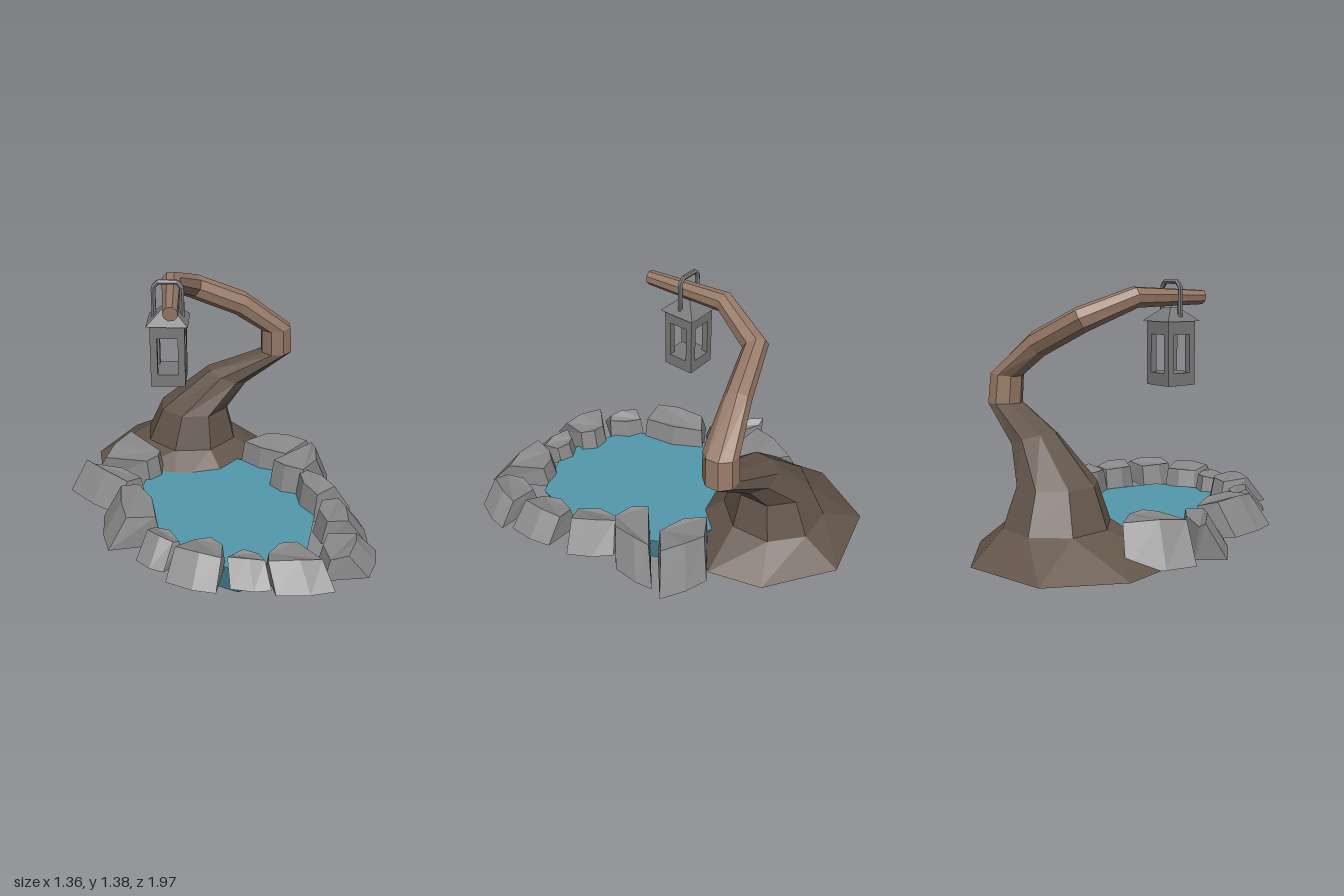
import * as THREE from 'three';

const mat = (name, color, side = THREE.FrontSide) => {
  const m = new THREE.MeshStandardMaterial({ color, side, flatShading: true });
  m.name = name;
  return m;
};

const V = (x, y, z) => new THREE.Vector3(x, y, z);

// Skin a list of rings (arrays of points), open at the start and capped at the end
function loft(rings) {
  const n = rings[0].length, pos = [], idx = [];
  rings.forEach(r => r.forEach(p => pos.push(p.x, p.y, p.z)));
  for (let i = 0; i < rings.length - 1; i++) {
    for (let j = 0; j < n; j++) {
      const a = i * n + j, b = i * n + (j + 1) % n;
      idx.push(a, a + n, b, b, a + n, b + n);
    }
  }
  const end = (rings.length - 1) * n;
  for (let j = 1; j < n - 1; j++) idx.push(end, end + j + 1, end + j);
  const g = new THREE.BufferGeometry();
  g.setAttribute('position', new THREE.Float32BufferAttribute(pos, 3));
  g.setIndex(idx);
  const flat = g.toNonIndexed();
  flat.computeVertexNormals();
  return flat;
}

// Cross-sections of the tree: centre, radius, facing direction
function treeRings() {
  const base = [[0.53, -0.55], [0.48, -0.28], [0.12, -0.12], [-0.16, -0.18],
    [-0.47, -0.45], [-0.38, -0.78], [-0.07, -1], [0.34, -0.9]];
  const sections = [
    [0.10, 0.27, -0.55, 0.255, 0, 1, 0],
    [0.11, 0.455, -0.53, 0.19, 0, 1, 0],
    [0.275, 0.635, -0.45, 0.115, 0.33, 0.94, 0.1],
    [0.515, 0.78, -0.33, 0.086, 0, 1, 0],
    [0.505, 0.92, -0.325, 0.083, -0.1, 1, 0],
    [0.305, 1.075, -0.36, 0.065, -0.88, 0.47, -0.1],
    [0.05, 1.195, -0.4, 0.062, -0.85, 0.45, 0.3],
    [-0.14, 1.295, -0.225, 0.051, -0.6, 0.15, 0.78],
    [-0.315, 1.29, 0.17, 0.036, -0.45, -0.1, 0.9]
  ];
  const rings = [base.map(([x, z]) => V(x, 0.13, z))];
  const u = V(1, 0, 0), v = V(0, 0, 1), last = V(0, 1, 0);
  const q = new THREE.Quaternion();
  for (const [x, y, z, r, nx, ny, nz] of sections) {
    const n = V(nx, ny, nz).normalize();
    q.setFromUnitVectors(last, n);
    u.applyQuaternion(q);
    v.applyQuaternion(q);
    last.copy(n);
    rings.push(base.map((_, j) => {
      const a = j / base.length * Math.PI * 2;
      return V(x, y, z).addScaledVector(u, r * Math.cos(a)).addScaledVector(v, r * Math.sin(a));
    }));
  }
  return rings;
}

// Stone shell from four corners (inner pair, then outer pair); the outer wall leans inward
function stoneGeometry([y0, y1, ...c]) {
  const [a, b, d, e] = [0, 2, 4, 6].map(i => V(c[i], 0, c[i + 1]));
  const inner = a.clone().lerp(b, 0.5), outer = d.clone().lerp(e, 0.45);
  const centre = inner.clone().lerp(outer, 0.5);
  const out = outer.clone().sub(inner).normalize();
  inner.addScaledVector(out, -0.03);
  outer.addScaledVector(out, 0.015);
  const plan = [a, inner, b, d, outer, e];
  const base = plan.map((p, i) => p.clone().setY(i < 3 ? y0 - 0.01 : y0 + 0.01));
  const top = plan.map((p, i) => p.clone().lerp(centre, 0.08)
    .addScaledVector(out, i < 3 ? 0.015 : -0.09)
    .setY(y1 - [0.03, 0.02, 0.025, 0.015, 0, 0.005][i]));
  return loft([base, top]);
}

// Bottom, top, then x and z of the four corners
const STONES = [
  [0.18, 0.315, -0.09, 0.68, 0.08, 0.66, 0.11, 0.97, -0.14, 0.88],
  [0.18, 0.31, 0.12, 0.86, 0.22, 0.67, 0.45, 0.79, 0.3, 0.95],
  [0.18, 0.325, 0.26, 0.61, 0.34, 0.43, 0.52, 0.52, 0.44, 0.74],
  [0.17, 0.34, 0.33, 0.42, 0.36, 0.18, 0.51, 0.19, 0.55, 0.42],
  [0.15, 0.365, 0.37, 0.22, 0.27, 0.06, 0.67, -0.04, 0.58, 0.16],
  [0.1, 0.335, 0.4, -0.01, 0.25, -0.24, 0.52, -0.28, 0.68, -0.08],
  [0.18, 0.3, -0.23, 0.6, -0.11, 0.65, -0.14, 0.84, -0.3, 0.75],
  [0.18, 0.325, -0.33, 0.45, -0.23, 0.56, -0.37, 0.75, -0.54, 0.58],
  [0.18, 0.31, -0.45, 0.26, -0.39, 0.44, -0.52, 0.51, -0.6, 0.37],
  [0.155, 0.33, -0.38, -0.1, -0.42, 0.25, -0.68, 0.21, -0.6, -0.08],
  [0.15, 0.32, -0.52, -0.41, -0.34, -0.14, -0.54, -0.09, -0.67, -0.4],
  [0.12, 0.33, -0.15, -0.34, -0.27, -0.25, -0.55, -0.46, -0.31, -0.68]
];

export function createModel() {
  const model = new THREE.Group();
  model.name = 'lanternPond';
  const water = mat('water blue', 0x5299ac);
  const bark = mat('dark bark', 0x64564b, THREE.DoubleSide);
  const wood = mat('light wood', 0x967967);
  const stone = mat('stone grey', 0x8a8a8a, THREE.DoubleSide);
  const iron = mat('iron grey', 0x7a7a7a);

  const add = (parent, name, geometry, material, x = 0, y = 0, z = 0) => {
    const m = new THREE.Mesh(geometry, material);
    m.name = name;
    m.position.set(x, y, z);
    parent.add(m);
  };

  // Pond: octagonal tapered basin
  const basin = new THREE.CylinderGeometry(1.22, 1, 0.195, 8, 1, false, Math.PI / 8);
  basin.scale(0.368, 1, 0.47);
  add(model, 'pond', basin, water, -0.028, 0.0975, 0.137);

  // Leaning tree: dark trunk, then the light branch
  const rings = treeRings();
  add(model, 'trunk', loft(rings.slice(0, 5)), bark);
  add(model, 'branch', loft(rings.slice(4)), wood);

  // Ring of stones
  const border = new THREE.Group();
  border.name = 'stoneBorder';
  model.add(border);
  STONES.forEach((s, i) => add(border, 'stone' + (i + 1), stoneGeometry(s), stone));

  // Lantern hanging over the water
  const lantern = new THREE.Group();
  lantern.name = 'lantern';
  lantern.position.set(-0.24, 0, -0.035);
  lantern.rotation.y = -0.48;
  model.add(lantern);
  const w = 0.163, post = 0.033, o = (w - post) / 2;
  add(lantern, 'lanternBase', new THREE.BoxGeometry(w, 0.06, w), iron, 0, 0.905, 0);
  add(lantern, 'lanternTop', new THREE.BoxGeometry(w, 0.065, w), iron, 0, 1.15, 0);
  for (const sx of [-1, 1]) for (const sz of [-1, 1]) {
    add(lantern, 'lanternPost', new THREE.BoxGeometry(post, 0.19, post), iron, sx * o, 1.027, sz * o);
  }
  const roof = new THREE.CylinderGeometry(0.035, 0.138, 0.066, 4, 1, false, Math.PI / 4);
  add(lantern, 'lanternRoof', roof, iron, 0, 1.213, 0);

  // Handle looping over the branch
  const loop = new THREE.CurvePath();
  const bends = [[-0.066, 1.2], [-0.066, 1.34], [-0.045, 1.366], [0.045, 1.366], [0.066, 1.34], [0.066, 1.2]];
  for (let i = 0; i < bends.length - 1; i++) {
    loop.add(new THREE.LineCurve3(V(...bends[i], 0), V(...bends[i + 1], 0)));
  }
  add(lantern, 'handle', new THREE.TubeGeometry(loop, 40, 0.012, 6, false), iron);

  return model;
}
